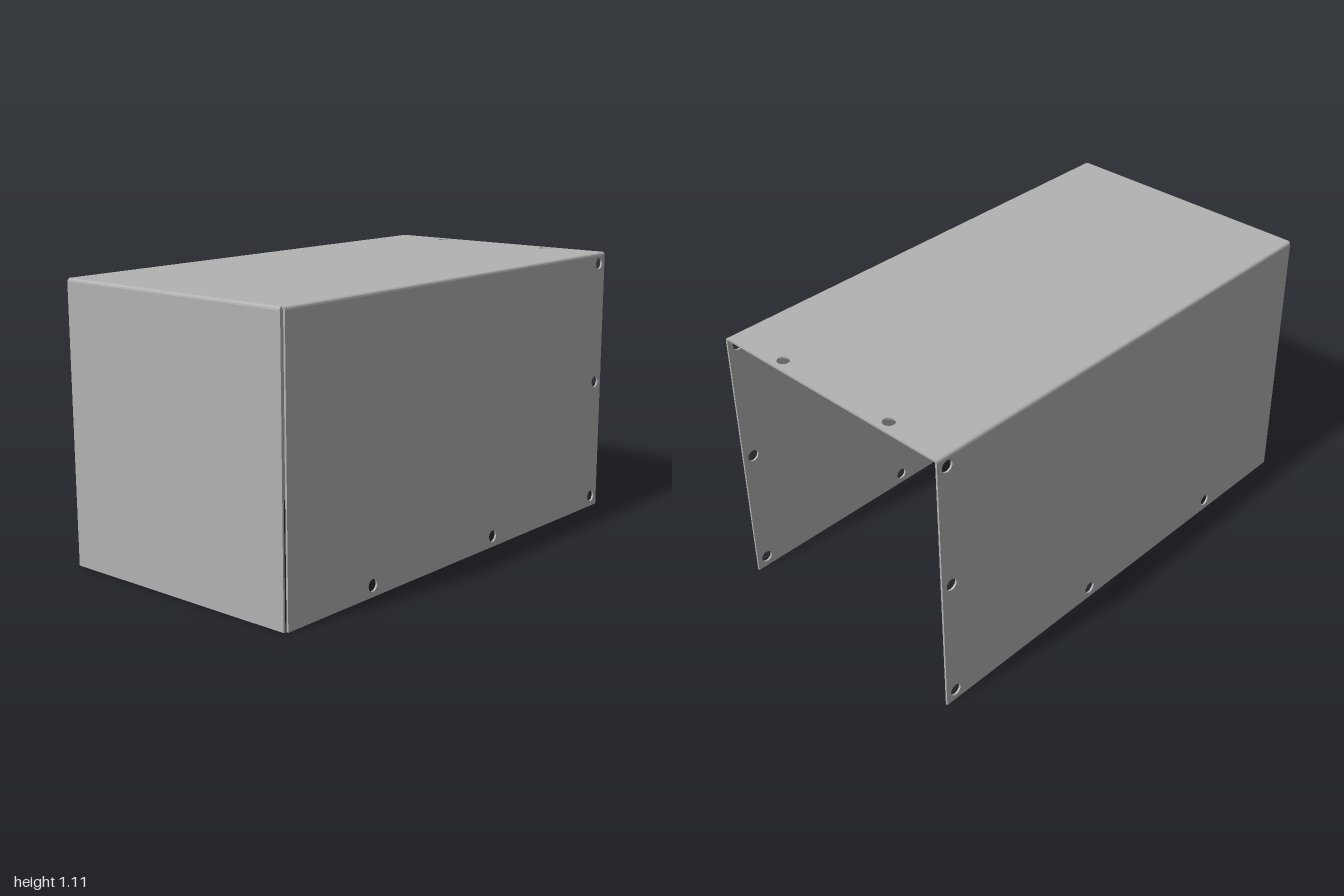
import * as THREE from 'three';
import { toCreasedNormals } from 'three/addons/utils/BufferGeometryUtils.js';

const H = 1.11;        // overall height
const D = 0.545;       // half depth
const T = 0.008;       // sheet thickness
const R = 0.012;       // outer bend radius
const X0 = -1 + R;     // start of top and side sheets
const END = 0.535;     // half width of the end panel
const HOLE = 0.024;    // screw hole radius

const metal = new THREE.MeshStandardMaterial({ color: 0xb2b2b2 });
metal.name = 'sheetMetal';

// Flat rectangular sheet with round screw holes, extruded along z
function sheet(x0, y0, x1, y1, holes = []) {
  const shape = new THREE.Shape();
  shape.moveTo(x0, y0).lineTo(x1, y0).lineTo(x1, y1).lineTo(x0, y1).closePath();
  for (const [x, y] of holes) {
    shape.holes.push(new THREE.Path().absarc(x, y, HOLE, 0, Math.PI * 2, true));
  }
  return extrude(shape, T);
}

// Quarter-round bend: outward is +x, up is +y, running along z
function bend(length) {
  const shape = new THREE.Shape();
  shape.absarc(0, 0, R, 0, Math.PI / 2, false);
  shape.absarc(0, 0, R - T, Math.PI / 2, 0, true);
  shape.closePath();
  return extrude(shape, length);
}

function extrude(shape, depth) {
  const g = new THREE.ExtrudeGeometry(shape, { depth, bevelEnabled: false, curveSegments: 12 });
  return toCreasedNormals(g, 0.6);
}

export function createModel() {
  const group = new THREE.Group();
  group.name = 'sheetMetalCover';
  const add = (name, geometry) => {
    const mesh = new THREE.Mesh(geometry, metal);
    mesh.name = name;
    group.add(mesh);
  };

  // Side walls with holes along the open end and the bottom edge
  const sideHoles = [[0.955, 1.065], [0.955, 0.555], [0.955, 0.045], [0.21, 0.045], [-0.54, 0.045]];
  add('frontWall', sheet(X0, 0, 1, H - R, sideHoles).translate(0, 0, D - T));
  add('backWall', sheet(X0, 0, 1, H - R, sideHoles).translate(0, 0, -D));

  // Top sheet
  add('topPanel', sheet(X0, -D + R, 1, D - R, [[0.955, -0.273], [0.955, 0.273]])
    .rotateX(-Math.PI / 2).translate(0, H - T, 0));

  // Closed end, separated from the walls by narrow corner gaps
  add('endPanel', sheet(-END, 0, END, H - R).rotateY(-Math.PI / 2).translate(-1 + T, 0, 0));

  // Rounded bends joining the top to the walls and the end
  add('frontBend', bend(1 - X0).rotateY(-Math.PI / 2).translate(1, H - R, D - R));
  add('backBend', bend(1 - X0).rotateY(Math.PI / 2).translate(X0, H - R, -D + R));
  add('endBend', bend(2 * (D - R)).rotateY(Math.PI).translate(X0, H - R, D - R));

  return group;
}
